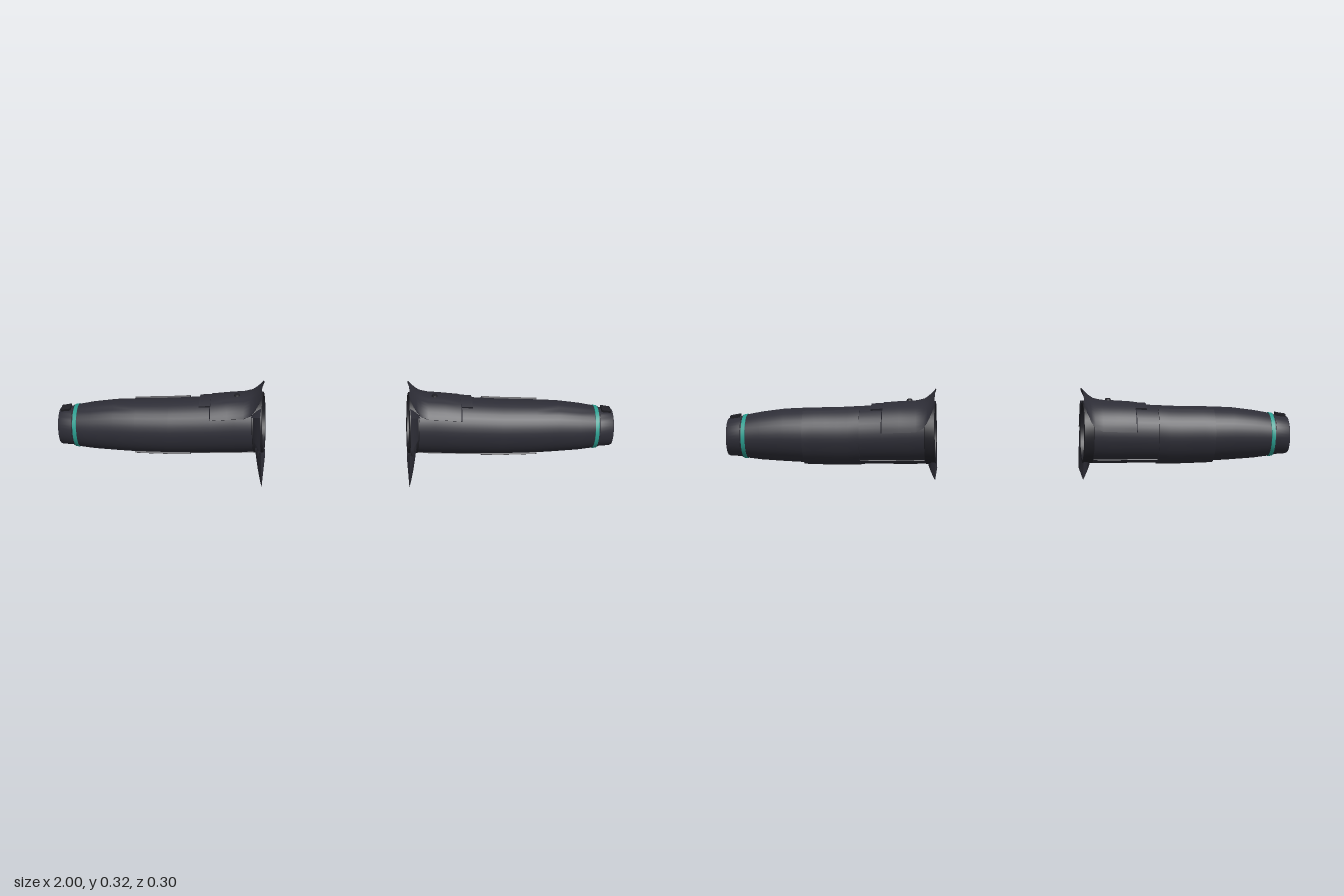
import * as THREE from 'three';
import { toCreasedNormals } from 'three/addons/utils/BufferGeometryUtils.js';

const { lerp, degToRad } = THREE.MathUtils;

// Sleeve cross-sections: x, centre y, centre z, radius y, radius z
const SECTIONS = [
  [0.262, 0.168, -0.042, 0.108, 0.105],
  [0.36, 0.165, -0.039, 0.108, 0.102],
  [0.45, 0.162, -0.035, 0.104, 0.099],
  [0.6, 0.158, -0.034, 0.101, 0.096],
  [0.72, 0.159, -0.034, 0.098, 0.093],
  [0.8, 0.160, -0.035, 0.094, 0.089],
  [0.88, 0.158, -0.036, 0.086, 0.083],
  [0.95, 0.156, -0.037, 0.075, 0.073],
  [1.0, 0.155, -0.038, 0.067, 0.065],
];

// Point on the sleeve; angle 0 is the top, positive turns to the front
function onSleeve(x, angle, offset = 0) {
  let k = 0;
  while (k < SECTIONS.length - 2 && x > SECTIONS[k + 1][0]) k++;
  const p = SECTIONS[k], q = SECTIONS[k + 1];
  const t = (x - p[0]) / (q[0] - p[0]);
  const [cy, cz, ry, rz] = [1, 2, 3, 4].map((i) => lerp(p[i], q[i], t));
  return [x, cy + (ry + offset) * Math.cos(angle), cz + (rz + offset) * Math.sin(angle)];
}

// Surface from a grid of points, mirrored to either side
function grid(side, rows, cols, pointAt) {
  const pos = [], idx = [];
  for (let i = 0; i <= rows; i++) {
    for (let j = 0; j <= cols; j++) {
      const [x, y, z] = pointAt(i, j);
      pos.push(side * x, y, z);
      if (i === rows || j === cols) continue;
      const a = i * (cols + 1) + j, b = a + cols + 1;
      if (side > 0) idx.push(a, a + 1, b, b, a + 1, b + 1);
      else idx.push(a, b, a + 1, b, b + 1, a + 1);
    }
  }
  const geo = new THREE.BufferGeometry();
  geo.setAttribute('position', new THREE.Float32BufferAttribute(pos, 3));
  geo.setIndex(idx);
  geo.computeVertexNormals();
  return toCreasedNormals(geo, 0.7);
}

// Full rings through a list of [x, offset]
function rings(side, list) {
  return grid(side, list.length - 1, 36, (i, j) =>
    onSleeve(list[i][0], (j / 36) * Math.PI * 2, list[i][1]));
}

// Raised panel with edges that sink into the sleeve
function panel(side, x0, x1, deg0, deg1, height, cols = 16) {
  const rows = 5;
  return grid(side, rows + 2, cols + 2, (i, j) => {
    const edge = i === 0 || j === 0 || i === rows + 2 || j === cols + 2;
    const u = Math.min(Math.max(i - 1, 0), rows) / rows;
    const v = Math.min(Math.max(j - 1, 0), cols) / cols;
    return onSleeve(lerp(x0, x1, u), degToRad(lerp(deg0, deg1, v)), edge ? -0.002 : height);
  });
}

// Flared plate between an inner and an outer line of [z, y]
function flare(side, inner, outer, x0, x1) {
  return grid(side, 4, inner.length - 1, (i, j) => {
    const t = i / 4;
    return [
      lerp(x0, x1, t * t * 0.4 + t * 0.6),
      lerp(inner[j][1], outer[j][1], t),
      lerp(inner[j][0], outer[j][0], t),
    ];
  });
}

export function createModel() {
  const make = (name, color) => {
    const m = new THREE.MeshStandardMaterial({ color, side: THREE.DoubleSide });
    m.name = name;
    return m;
  };
  const fabric = make('charcoal fabric', 0x2d2d36);
  const trim = make('dark trim', 0x212127);
  const teal = make('teal stripe', 0x2a9d8f);

  const model = new THREE.Group();
  model.name = 'sleeves';

  for (const side of [1, -1]) {
    const sleeve = new THREE.Group();
    sleeve.name = side > 0 ? 'leftSleeve' : 'rightSleeve';
    model.add(sleeve);
    const add = (name, geo, mat = fabric) => {
      const mesh = new THREE.Mesh(geo, mat);
      mesh.name = name;
      sleeve.add(mesh);
      return mesh;
    };

    // Hollow tube, cuff and shoulder edge
    add('sleeveTube', rings(side, SECTIONS.slice(0, 8).map((s) => [s[0], 0])));
    add('cuff', rings(side, [[0.95, 0], [0.952, -0.003], [0.995, 0], [1, -0.002],
      [1, -0.010], [0.94, -0.018], [0.9, -0.026]]));
    add('cuffStripe', rings(side, [[0.932, -0.001], [0.933, 0.002], [0.946, 0.002], [0.947, -0.001]]), teal);
    add('shoulderBand', rings(side, [[0.3, -0.001], [0.298, 0.004], [0.264, 0.004],
      [0.262, 0], [0.264, -0.007], [0.3, -0.006]]), trim);

    // Raised patches
    add('elbowPatch', panel(side, 0.53, 0.73, -215, -25, 0.006, 24));
    add('shoulderTab', panel(side, 0.44, 0.49, -27, 27, 0.007, 6));
    add('underarmPanel', panel(side, 0.3, 0.54, 150, 215, 0.003, 8));
    add('cuffTab', panel(side, 0.958, 0.992, -12, 16, 0.008, 4), trim);

    // Shoulder flap that sweeps up into a raised crest
    const rim = [[0.05, 0.308], [0.022, 0.319], [-0.025, 0.322], [-0.07, 0.32], [-0.11, 0.304], [-0.143, 0.28]];
    const rows = [[0.262, 1], [0.272, 0.72], [0.287, 0.38], [0.302, 0.14], [0.33, 0], [0.39, 0], [0.448, 0], [0.452, 0]];
    const cols = 20;
    add('shoulderFlap', grid(side, rows.length - 1, cols + 2, (i, j) => {
      const [x, w] = rows[i];
      const edge = j === 0 || j === cols + 2 || i === rows.length - 1;
      const v = Math.min(Math.max(j - 1, 0), cols) / cols;
      const p = onSleeve(x, degToRad(lerp(57, -80, v)), edge ? 0.001 : 0.009);
      const k = Math.min(Math.floor(v * 5), 4), t = v * 5 - k;
      return [x, lerp(p[1], lerp(rim[k][1], rim[k + 1][1], t), w),
        lerp(p[2], lerp(rim[k][0], rim[k + 1][0], t), w)];
    }));

    // Button on top of the flap
    const button = add('button', new THREE.CylinderGeometry(0.009, 0.011, 0.006, 16), trim);
    button.position.set(side * 0.355, 0.284, -0.03);

    // Flared lower and upper plates at the shoulder opening
    add('lowerPlate', flare(side,
      [[-0.085, 0.075], [-0.065, 0.067], [-0.02, 0.066], [0.02, 0.088], [0.04, 0.108], [0.055, 0.135], [0.06, 0.148]],
      [[-0.09, 0.068], [-0.079, 0], [0.03, 0], [0.142, 0], [0.145, 0.04], [0.127, 0.12], [0.118, 0.148]],
      0.292, 0.265));
    add('upperPlate', flare(side,
      [[0.03, 0.235], [0.05, 0.205], [0.06, 0.155]],
      [[0.102, 0.26], [0.125, 0.21], [0.148, 0.155]],
      0.298, 0.265));
    add('upperPlateTop', flare(side, [[0.03, 0.235], [0.102, 0.26]], [[0.03, 0.26], [0.102, 0.26]], 0.298, 0.265));

    // Small pegs between the plates
    for (const [x, z, length] of [[0.272, 0.127, 0.025], [0.283, 0.102, 0.016]]) {
      const peg = add('peg', new THREE.BoxGeometry(0.008, 0.006, length), trim);
      peg.position.set(side * x, 0.132, z);
    }
  }
  return model;
}
